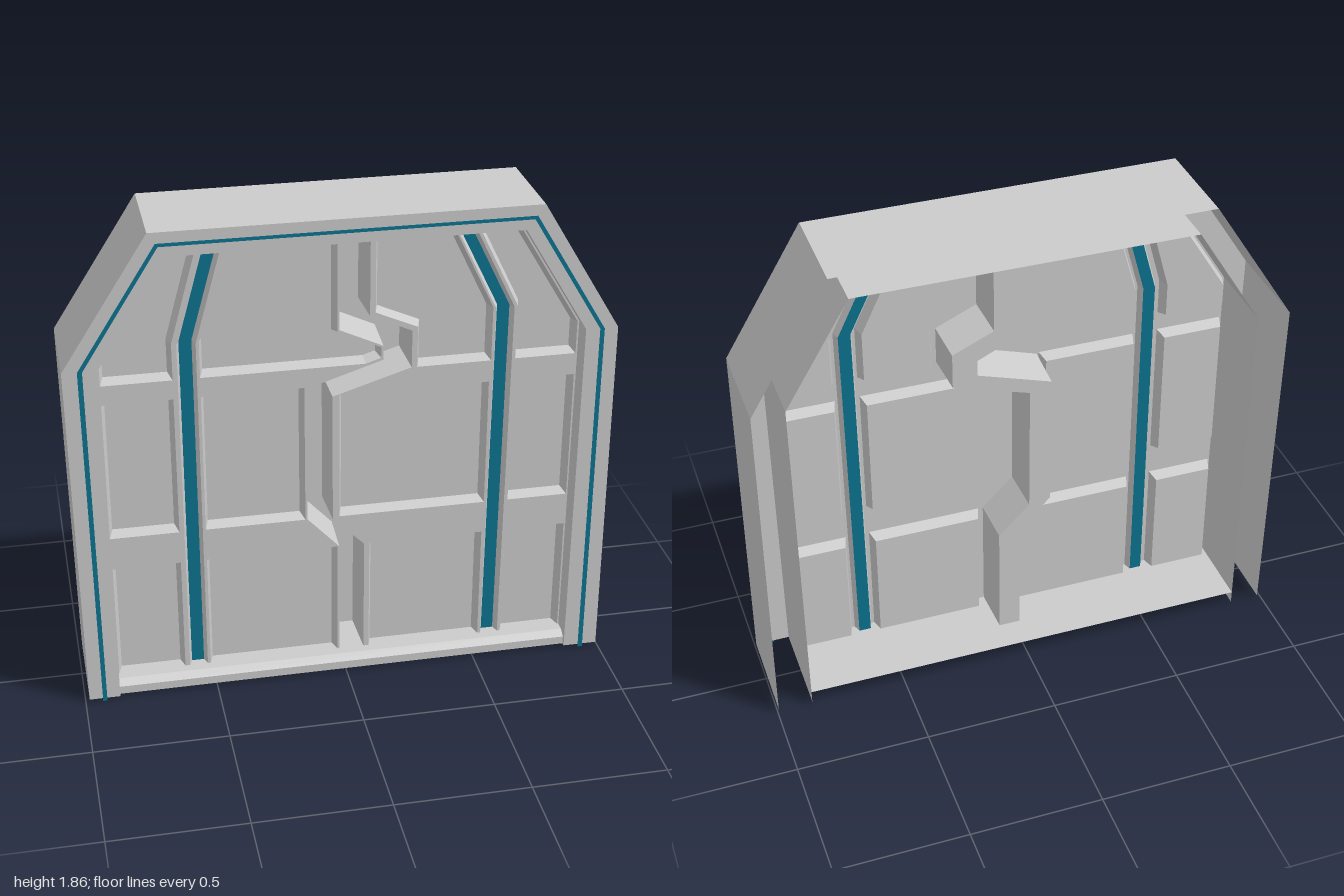
import * as THREE from 'three';

const material = (color) => new THREE.MeshStandardMaterial({ color, side: THREE.DoubleSide, flatShading: true });
const grey = material(0xcccccc);
const teal = material(0x0b7390);

const FRONT = 0.19, BACK = -0.19; // frame depth
const SHEET = 0.11, PANEL = 0.065, STRIPE = 0.08, SEAM = -0.07; // door depths

function add(group, name, geometry, mat = grey, z = 0) {
  const mesh = new THREE.Mesh(geometry, mat);
  mesh.name = name;
  mesh.position.z = z;
  group.add(mesh);
  return mesh;
}

const shapeOf = (pts) => new THREE.Shape(pts.map(([x, y]) => new THREE.Vector2(x, y)));
const lerpPath = (a, b, t) => a.map(([x, y], i) => [x + (b[i][0] - x) * t, y + (b[i][1] - y) * t]);
const band = (a, b) => new THREE.ShapeGeometry(shapeOf([...a, ...[...b].reverse()]));

// Wall of quads joining two matching outlines of [x, y] points at two depths
function wall(a, za, b, zb, closed) {
  const pos = [];
  const n = a.length;
  for (let i = 0; i < (closed ? n : n - 1); i++) {
    const j = (i + 1) % n;
    const A = [...a[i], za], B = [...a[j], za], C = [...b[j], zb], D = [...b[i], zb];
    pos.push(...A, ...B, ...C, ...A, ...C, ...D);
  }
  const g = new THREE.BufferGeometry();
  g.setAttribute('position', new THREE.Float32BufferAttribute(pos, 3));
  g.computeVertexNormals();
  return g;
}

// Shrinks a counter-clockwise polygon by d with mitred corners
function inset(pts, d) {
  const n = pts.length;
  const normal = (p, q) => {
    const l = Math.hypot(q[0] - p[0], q[1] - p[1]);
    return [-(q[1] - p[1]) / l, (q[0] - p[0]) / l];
  };
  return pts.map((p, i) => {
    const u = normal(pts[(i + n - 1) % n], p);
    const v = normal(p, pts[(i + 1) % n]);
    const k = d / (1 + u[0] * v[0] + u[1] * v[1]);
    return [p[0] + (u[0] + v[0]) * k, p[1] + (u[1] + v[1]) * k];
  });
}

// Sunken area of the door: sloping walls and a floor
function recess(group, name, pts, d, depth, floorMat = grey) {
  const part = new THREE.Group();
  part.name = name;
  const floor = inset(pts, d);
  add(part, name + 'Walls', wall(pts, SHEET, floor, depth, true));
  add(part, name + 'Floor', new THREE.ShapeGeometry(shapeOf(floor)), floorMat, depth);
  group.add(part);
}

const rect = (x0, y0, x1, y1) => [[x0, y0], [x1, y0], [x1, y1], [x0, y1]];

export function createModel() {
  const model = new THREE.Group();
  model.name = 'doorway';

  // Frame: outer and inner shells joined by the front face, open at the back
  const outer = [[0.995, 0.01], [0.99, 1.37], [0.695, 1.86], [-0.685, 1.86], [-1, 1.37], [-0.985, 0.01]];
  const inner = [[0.865, 0.01], [0.87, 1.37], [0.63, 1.77], [-0.625, 1.77], [-0.875, 1.37], [-0.87, 0.01]];
  const frame = new THREE.Group();
  frame.name = 'frame';
  model.add(frame);
  add(frame, 'frameOuterShell', wall(outer, BACK, outer, FRONT, false));
  add(frame, 'frameInnerShell', wall(inner, FRONT, inner, BACK, false));
  add(frame, 'frameFace', band(outer, inner), grey, FRONT);

  // Thin coloured line round the middle of the frame face
  const ground = (path) => path.map(([x, y]) => [x, y < 0.02 ? 0 : y]);
  add(frame, 'frameTrim', band(ground(lerpPath(outer, inner, 0.43)), ground(lerpPath(outer, inner, 0.57))), teal, FRONT + 0.004);

  // Sill: bent plate running from the front lip to the back
  const profile = [[0.175, 0.01], [0.175, 0.042], [0.145, 0.06], [BACK, 0.06]];
  const sill = new THREE.Group();
  sill.name = 'sill';
  model.add(sill);
  for (let i = 0; i < profile.length - 1; i++) {
    const [z0, y0] = profile[i], [z1, y1] = profile[i + 1];
    add(sill, 'sillPlate', wall([[-0.87, y0], [0.865, y0]], z0, [[-0.87, y1], [0.865, y1]], z1, false));
  }

  const door = new THREE.Group();
  door.name = 'door';
  model.add(door);

  // Stepped seam between the two door halves
  const seam = [
    [0.08, 0.015], [0.08, 0.52], [-0.04, 0.64], [-0.04, 1.15], [0.25, 1.24], [0.25, 1.385], [0.095, 1.455], [0.095, 1.765],
    [-0.015, 1.765], [-0.015, 1.41], [0.145, 1.335], [0.145, 1.28], [-0.135, 1.19], [-0.135, 0.65], [-0.015, 0.52], [-0.015, 0.015],
  ];

  // Upright channels with a coloured strip inside
  const channel = (path) => [
    ...path.map(([x, y]) => [x + 0.034, y]),
    ...[...path].reverse().map(([x, y]) => [x - 0.034, y]),
  ];
  const channels = [
    channel([[-0.56, 0.015], [-0.56, 1.405], [-0.46, 1.765]]),
    channel([[0.58, 0.015], [0.59, 1.445], [0.435, 1.765]]),
  ];

  // Sunken panels, from the outer side inwards and from bottom to top
  const panels = [
    rect(-0.864, 0.02, -0.612, 0.52),
    rect(-0.867, 0.65, -0.612, 1.195),
    [[-0.867, 1.27], [-0.612, 1.27], [-0.612, 1.41], [-0.515, 1.762], [-0.622, 1.762], [-0.867, 1.369]],
    rect(-0.515, 0.02, -0.022, 0.52),
    rect(-0.515, 0.65, -0.143, 1.195),
    [[-0.515, 1.27], [0.08, 1.27], [0.137, 1.288], [0.137, 1.33], [-0.023, 1.405], [-0.023, 1.762], [-0.415, 1.762], [-0.515, 1.41]],
    rect(0.1, 0.02, 0.535, 0.52),
    rect(-0.015, 0.65, 0.54, 1.155),
    [[0.27, 1.24], [0.545, 1.24], [0.545, 1.45], [0.395, 1.762], [0.115, 1.762], [0.115, 1.467], [0.27, 1.398]],
    rect(0.626, 0.02, 0.86, 0.52),
    rect(0.632, 0.65, 0.862, 1.155),
    [[0.635, 1.24], [0.863, 1.24], [0.863, 1.368], [0.627, 1.762], [0.483, 1.762], [0.635, 1.45]],
  ];

  // Raised bars of the door: one sheet with all the sunken areas cut out
  const sheet = shapeOf(inner);
  for (const pts of [seam, ...channels, ...panels]) {
    sheet.holes.push(new THREE.Path(pts.map(([x, y]) => new THREE.Vector2(x, y))));
  }
  add(door, 'doorBars', new THREE.ShapeGeometry(sheet), grey, SHEET);

  recess(door, 'doorSeam', seam, 0.006, SEAM);
  channels.forEach((pts) => recess(door, 'doorStripe', pts, 0.011, STRIPE, teal));
  panels.forEach((pts) => recess(door, 'doorPanel', pts, 0.014, PANEL));

  return model;
}
